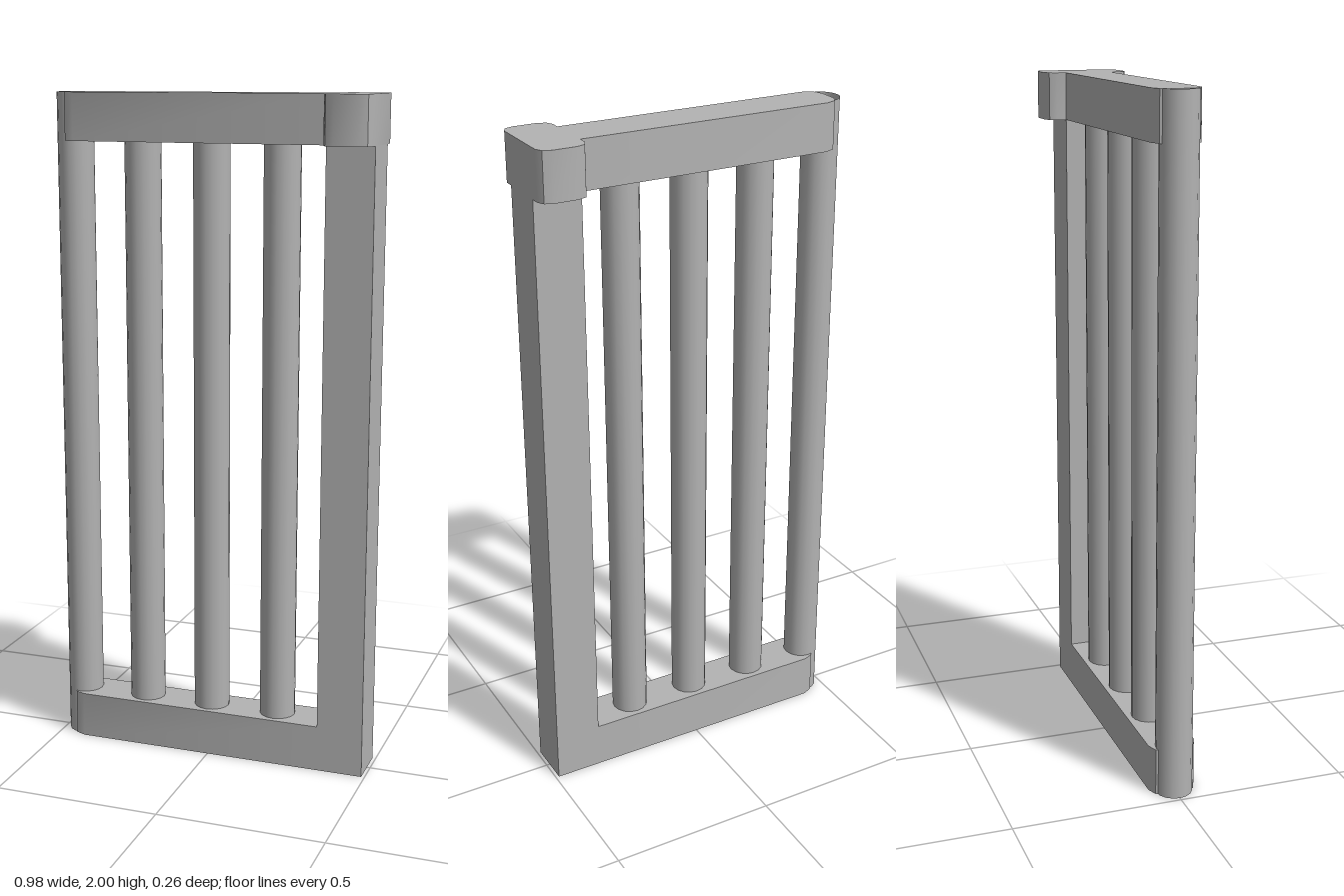
import * as THREE from 'three';
import { mergeGeometries, toCreasedNormals } from 'three/addons/utils/BufferGeometryUtils.js';

const steel = new THREE.MeshStandardMaterial({ color: 0xb3b3b3, side: THREE.DoubleSide });
steel.name = 'grey metal';

const HEIGHT = 2, RAIL = 0.14, HALF = 0.07, POST_IN = 0.35, POST_OUT = 0.49;

// Upright walls along a counter-clockwise plan outline, with optional top and bottom faces
function prism(name, outline, y0, y1, { top = true, bottom = false, closed = true } = {}) {
  const walls = [];
  const count = closed ? outline.length : outline.length - 1;
  for (let i = 0; i < count; i++) {
    const p = outline[i], q = outline[(i + 1) % outline.length];
    walls.push(...p, y0, ...q, y0, ...q, y1, ...p, y0, ...q, y1, ...p, y1);
  }
  const wall = new THREE.BufferGeometry();
  wall.setAttribute('position', new THREE.Float32BufferAttribute(walls, 3));
  const parts = [wall];
  const face = (y, flip) => {
    const g = new THREE.ShapeGeometry(new THREE.Shape(outline.map(p => new THREE.Vector2(...p))));
    if (flip) g.rotateX(Math.PI).scale(1, -1, 1).index.array.reverse();
    const flat = g.translate(0, 0, y).toNonIndexed();
    flat.deleteAttribute('uv');
    flat.deleteAttribute('normal');
    return flat;
  };
  if (top) parts.push(face(y1, false));
  if (bottom) {
    const under = face(y0, false);
    const a = under.attributes.position.array;
    // swap two corners of every triangle so the face looks down
    for (let i = 0; i < a.length; i += 9) {
      for (let k = 0; k < 3; k++) [a[i + 3 + k], a[i + 6 + k]] = [a[i + 6 + k], a[i + 3 + k]];
    }
    parts.push(under);
  }
  const geometry = toCreasedNormals(mergeGeometries(parts).rotateX(-Math.PI / 2), Math.PI / 5);
  const mesh = new THREE.Mesh(geometry, steel);
  mesh.name = name;
  return mesh;
}

export function createModel() {
  const gate = new THREE.Group();
  gate.name = 'barredGate';

  // Rails: rounded free end, open where they meet the post, hollow underneath
  const railOutline = [
    [POST_IN, HALF], [-0.415, HALF], [-0.445, 0.058], [-0.458, 0.03],
    [-0.458, -0.03], [-0.445, -0.058], [-0.415, -HALF], [POST_IN, -HALF],
  ];
  gate.add(prism('bottomRail', railOutline, 0, RAIL, { closed: false }));
  gate.add(prism('topRail', railOutline, HEIGHT - RAIL, HEIGHT, { closed: false }));

  // Square post
  const postOutline = [[POST_IN, -HALF], [POST_OUT, -HALF], [POST_OUT, HALF], [POST_IN, HALF]];
  gate.add(prism('post', postOutline, 0, HEIGHT - RAIL, { top: false }));

  // Wide post cap with softened corners
  const mid = (POST_IN + POST_OUT) / 2;
  const corner = [[0.07, 0.098], [0.06, 0.119], [0.035, 0.128]];
  const back = [...corner].reverse();
  const capOutline = [
    ...corner.map(([x, z]) => [mid + x, z]),
    ...back.map(([x, z]) => [mid - x, z]),
    ...corner.map(([x, z]) => [mid - x, -z]),
    ...back.map(([x, z]) => [mid + x, -z]),
  ];
  gate.add(prism('postCap', capOutline, HEIGHT - RAIL, HEIGHT, { bottom: true }));

  // Open tubular bars; the outermost runs the full height at the free end
  for (let i = 0; i < 4; i++) {
    const top = i === 0 ? HEIGHT : HEIGHT - 0.02;
    const bar = new THREE.Mesh(new THREE.CylinderGeometry(0.054, 0.054, top, 16, 1, true), steel);
    bar.name = 'bar' + (i + 1);
    bar.position.set(-0.436 + i * 0.2135, top / 2, 0);
    gate.add(bar);
  }
  return gate;
}
